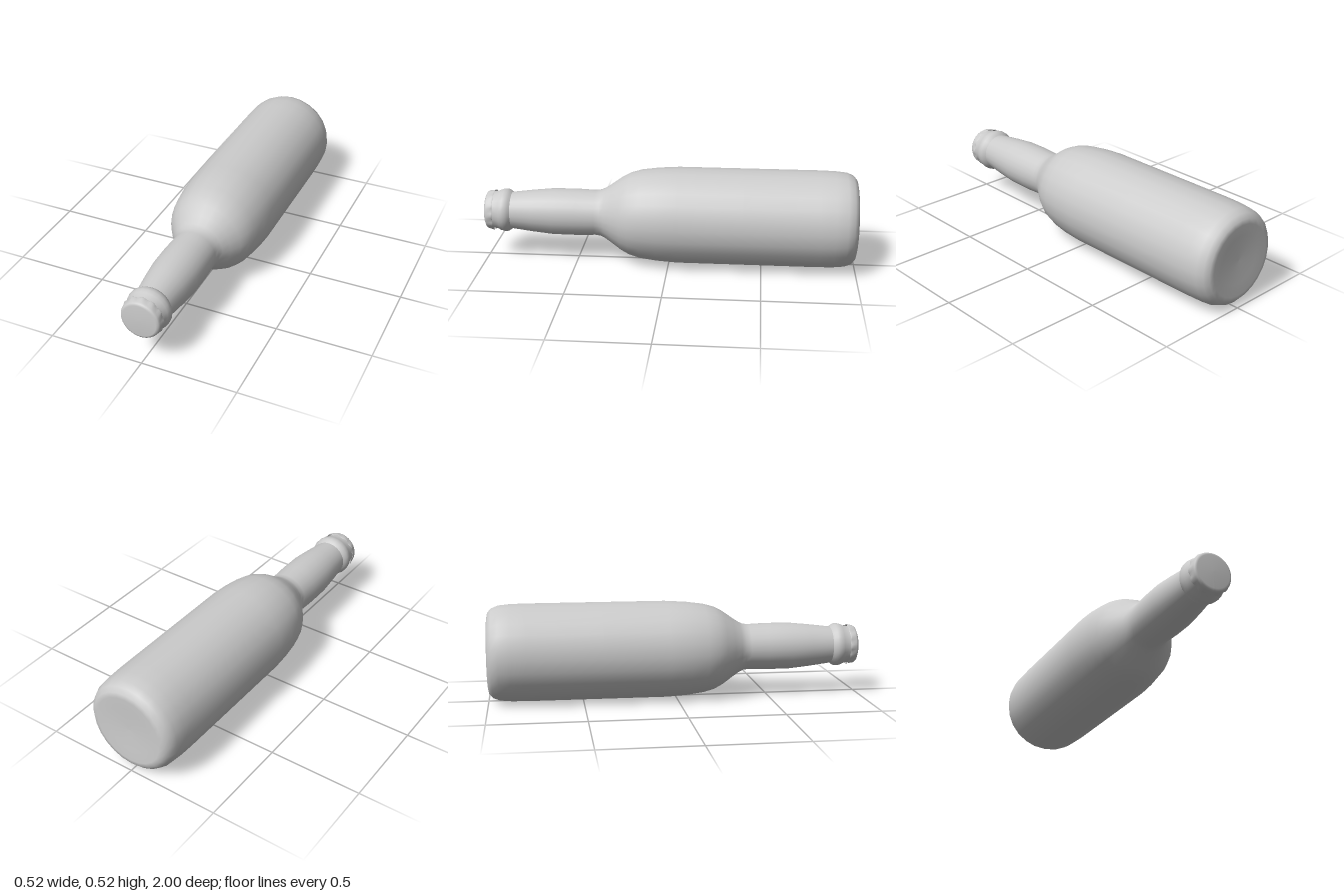
import * as THREE from 'three';

const R = 0.26; // body radius, also the height of the axis above the floor
const material = new THREE.MeshStandardMaterial({ color: 0xcccccc, side: THREE.DoubleSide });

// Revolve [radius, z] pairs around the z axis.
function revolve(profile, segments) {
  const points = profile.map(([r, z]) => new THREE.Vector2(r, z));
  return new THREE.LatheGeometry(points, segments).rotateX(Math.PI / 2);
}

function part(name, geometry) {
  const mesh = new THREE.Mesh(geometry, material);
  mesh.name = name;
  return mesh;
}

// Cap with a skirt that flares into crimps towards its rim.
function capGeometry(crimps) {
  const top = 0.985, rim = 0.953;
  const geometry = revolve([
    [0.103, rim], [0.105, rim + 0.004], [0.104, 0.968], [0.104, top],
    [0.099, 0.994], [0.088, 0.999], [0, 1],
  ], crimps * 4);
  const p = geometry.attributes.position;
  for (let i = 0; i < p.count; i++) {
    const x = p.getX(i), y = p.getY(i), z = p.getZ(i);
    const flare = THREE.MathUtils.clamp((top - z) / (top - rim), 0, 1);
    const wave = 0.5 + 0.5 * Math.cos(crimps * Math.atan2(y, x));
    const s = 1 + 0.08 * flare * wave;
    p.setXY(i, x * s, y * s);
  }
  geometry.computeVertexNormals();
  return geometry;
}

export function createModel() {
  const bottle = new THREE.Group();
  bottle.name = 'bottle';

  // Base, straight body, rounded shoulder and slightly swollen neck
  bottle.add(part('glassBody', revolve([
    [0, -0.99], [0.13, -0.993], [0.19, -1], [0.215, -0.995], [0.238, -0.975],
    [0.252, -0.94], [0.258, -0.88], [R, -0.8], [R, -0.4], [R, -0.05],
    [0.253, 0.06], [0.241, 0.15], [0.224, 0.21], [0.2, 0.255],
    [0.165, 0.305], [0.138, 0.345], [0.127, 0.37], [0.123, 0.4],
    [0.127, 0.5], [0.126, 0.63], [0.115, 0.74], [0.1, 0.86],
  ], 24)));

  // Raised lip bead below the cap
  bottle.add(part('lip', revolve([
    [0.1, 0.858], [0.108, 0.868], [0.116, 0.882], [0.117, 0.9],
    [0.112, 0.918], [0.104, 0.935], [0.101, 0.955], [0.098, 0.975],
  ], 24)));

  bottle.add(part('crimpedCap', capGeometry(12)));

  // Lay the bottle on the floor
  bottle.position.y = R;
  const model = new THREE.Group();
  model.name = 'lyingBottle';
  model.add(bottle);
  return model;
}
